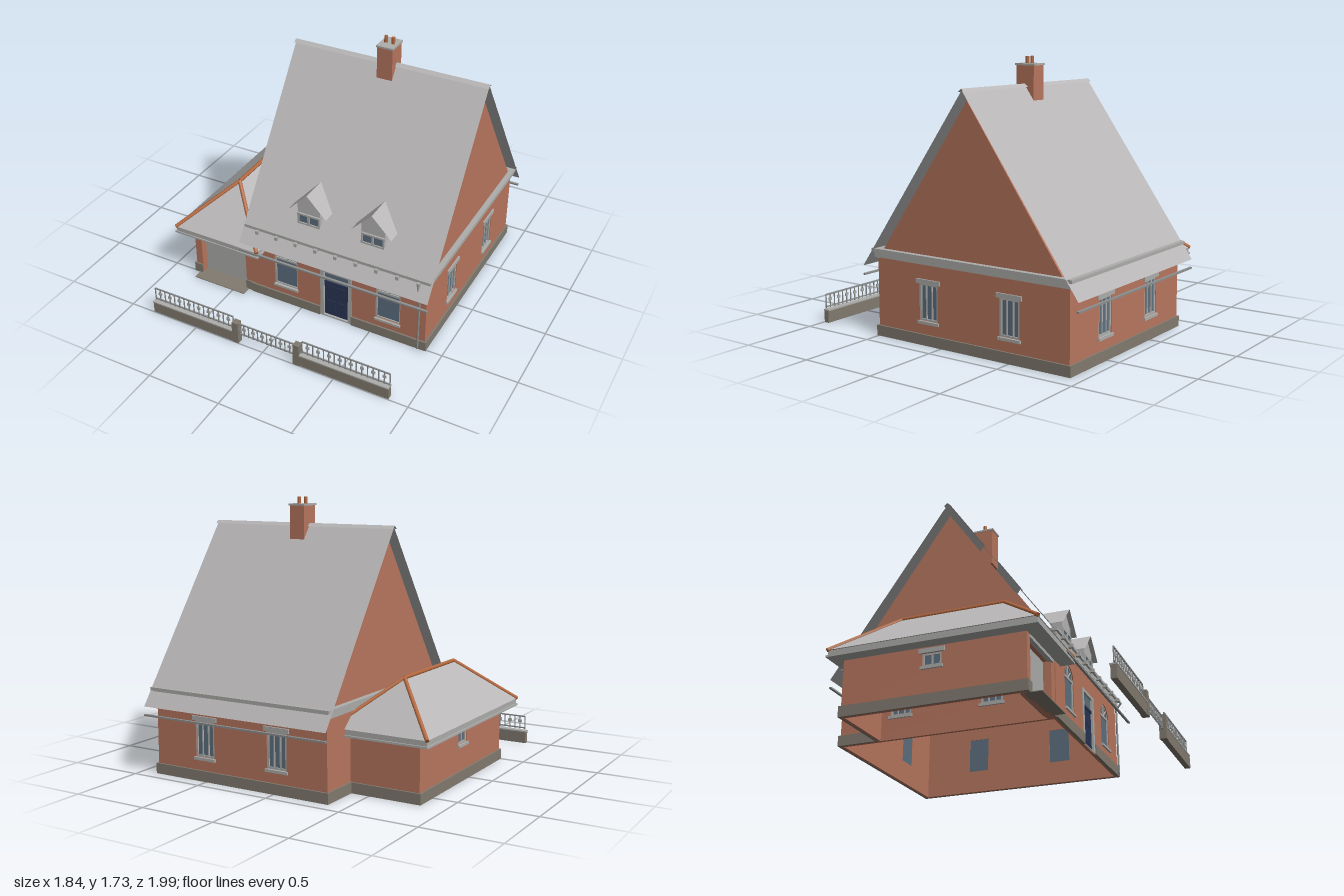
import * as THREE from 'three';

const mat = (name, color, side = THREE.FrontSide) => {
  const m = new THREE.MeshStandardMaterial({ color, side });
  m.name = name;
  return m;
};

export function createModel() {
  const root = new THREE.Group();
  root.name = 'house';
  const brick = mat('brick', 0xb8775f);
  const roofing = mat('roof slate', 0xb9b7b7, THREE.DoubleSide);
  const trim = mat('stone trim', 0xaeaeac);
  const base = mat('plinth stone', 0x827b70);
  const glass = mat('window glass', 0x5e7080);
  const navy = mat('door navy', 0x2a3555);
  const clay = mat('clay tile', 0xb5693f);
  const iron = mat('railing metal', 0x8f9090);

  const add = (parent, name, geo, m) => {
    const mesh = new THREE.Mesh(geo, m);
    mesh.name = name;
    parent.add(mesh);
    return mesh;
  };
  // Box from its minimum and maximum corners
  const box = (parent, name, m, x0, x1, y0, y1, z0, z1) => {
    const b = add(parent, name, new THREE.BoxGeometry(x1 - x0, y1 - y0, z1 - z0), m);
    b.position.set((x0 + x1) / 2, (y0 + y1) / 2, (z0 + z1) / 2);
    return b;
  };
  // Round bar between two points
  const bar = (parent, name, m, a, b, r) => {
    const p = new THREE.Vector3(...a), d = new THREE.Vector3(...b).sub(p);
    const c = add(parent, name, new THREE.CylinderGeometry(r, r, d.length(), 8), m);
    c.position.copy(p).addScaledVector(d, 0.5);
    c.quaternion.setFromUnitVectors(new THREE.Vector3(0, 1, 0), d.normalize());
  };
  // Flat sheet through three or four points
  const sheet = (parent, name, m, ...pts) => {
    const g = new THREE.BufferGeometry();
    g.setAttribute('position', new THREE.Float32BufferAttribute(pts.flat(), 3));
    g.setIndex(pts.length === 4 ? [0, 1, 2, 0, 2, 3] : [0, 1, 2]);
    const flat = g.toNonIndexed();
    flat.computeVertexNormals();
    add(parent, name, flat, m);
  };
  const poly = (pts) => new THREE.Shape(pts.map((p) => new THREE.Vector2(...p)));
  const rect = (x0, x1, y0, y1) => poly([[x0, y0], [x1, y0], [x1, y1], [x0, y1]]);
  const arch = (cx, hw, y0, ys) => {
    const s = new THREE.Shape();
    s.moveTo(cx - hw, y0).lineTo(cx + hw, y0).lineTo(cx + hw, ys);
    s.absarc(cx, ys, hw, 0, Math.PI, false);
    s.closePath();
    return s;
  };
  // Extruded shape with holes, its front face at z
  const plate = (parent, name, m, shape, holes, depth, z) => {
    shape.holes = holes;
    const g = new THREE.ExtrudeGeometry(shape, { depth, bevelEnabled: false, curveSegments: 14 });
    add(parent, name, g.translate(0, 0, z - depth), m);
  };
  // Horizontal rectangular frame
  const ring = (name, m, [x0, x1, z0, z1], [a0, a1, b0, b1], y0, y1) => {
    const s = rect(x0, x1, -z1, -z0);
    s.holes = [rect(a0, a1, -b1, -b0)];
    const g = new THREE.ExtrudeGeometry(s, { depth: y1 - y0, bevelEnabled: false });
    add(root, name, g.rotateX(-Math.PI / 2).translate(0, y0, 0), m);
  };
  // Facade group whose local +z is the outward direction
  const facade = (name, x, z, turn) => {
    const g = new THREE.Group();
    g.name = name;
    g.position.set(x, 0, z);
    g.rotation.y = turn;
    root.add(g);
    return g;
  };

  // Casement window with sill, lintel and mullions
  const casement = (f, cx, y0, y1, hw, bars) => {
    box(f, 'windowGlass', glass, cx - hw, cx + hw, y0, y1, -0.018, -0.012);
    plate(f, 'windowFrame', trim, rect(cx - hw, cx + hw, y0, y1),
      [rect(cx - hw + 0.012, cx + hw - 0.012, y0 + 0.012, y1 - 0.012)], 0.012, -0.004);
    for (const b of bars) box(f, 'mullion', trim, cx + b - 0.004, cx + b + 0.004, y0, y1, -0.014, -0.005);
    box(f, 'sill', trim, cx - hw - 0.01, cx + hw + 0.01, y0 - 0.018, y0, -0.01, 0.012);
    box(f, 'lintel', trim, cx - hw - 0.02, cx + hw + 0.02, y1, y1 + 0.028, -0.01, 0.01);
  };
  const sash = (f, cx) => casement(f, cx, 0.15, 0.38, 0.07, [-0.022, 0.022]);
  const opening = (cx) => rect(cx - 0.07, cx + 0.07, 0.15, 0.38);

  // Front wall with arched windows and door
  const front = facade('frontFacade', 0, 0.5, 0);
  const arches = [-0.115, 0.62];
  plate(front, 'frontWall', brick, rect(-0.37, 0.88, 0, 0.5),
    [...arches.map((c) => arch(c, 0.085, 0.13, 0.335)), rect(0.14, 0.365, 0.004, 0.375)], 0.02, 0);
  for (const c of arches) {
    plate(front, 'archGlass', glass, arch(c, 0.085, 0.13, 0.335), [], 0.005, -0.013);
    plate(front, 'archFrame', trim, arch(c, 0.085, 0.13, 0.335), [arch(c, 0.076, 0.139, 0.335)], 0.01, -0.006);
    box(front, 'transom', trim, c - 0.085, c + 0.085, 0.33, 0.345, -0.014, -0.004);
    box(front, 'mullion', trim, c - 0.004, c + 0.004, 0.34, 0.415, -0.014, -0.006);
    for (const s of [-1, 1])
      bar(front, 'fanBar', trim, [c, 0.338, -0.01], [c + s * 0.056, 0.396, -0.01], 0.004);
    box(front, 'sill', trim, c - 0.09, c + 0.09, 0.115, 0.13, -0.01, 0.012);
  }
  plate(front, 'doorFrame', trim, rect(0.14, 0.365, 0.004, 0.375), [rect(0.165, 0.34, 0.01, 0.355)], 0.02, 0.005);
  box(front, 'frontDoor', navy, 0.165, 0.34, 0.01, 0.27, -0.018, -0.01);
  for (const y of [0.04, 0.16])
    for (const x of [0.185, 0.26]) box(front, 'doorPanel', navy, x, x + 0.06, y, y + 0.09, -0.012, -0.006);
  box(front, 'doorTransom', navy, 0.165, 0.34, 0.265, 0.282, -0.018, -0.004);
  box(front, 'fanlight', glass, 0.165, 0.34, 0.282, 0.355, -0.018, -0.012);

  // Side walls with gables, and back wall
  const side = (name, x, s) => {
    const f = facade(name, x, 0, s * Math.PI / 2);
    plate(f, 'sideWall', brick, rect(s > 0 ? -0.5 : -0.91, s > 0 ? 0.91 : 0.5, 0, 0.5),
      [opening(-0.1 * s), opening(0.5 * s)], 0.02, 0);
    sash(f, -0.1 * s);
    sash(f, 0.5 * s);
    const tri = [[-0.495, 0.5], [0.895, 0.5], [0.2, 1.49]];
    plate(f, 'gable', brick, poly(tri.map(([a, b]) => [a * s, b])), [], 0.015, -0.005);
  };
  side('rightFacade', 0.88, 1);
  side('leftFacade', -0.37, -1);
  const back = facade('backFacade', 0, -0.91, Math.PI);
  plate(back, 'backWall', brick, rect(-0.88, 0.37, 0, 0.5), [opening(-0.51), opening(0.02)], 0.02, 0);
  sash(back, -0.51);
  sash(back, 0.02);

  // Plinth of house and annex
  for (const p of [[-0.38, 0.14, 0.49, 0.512], [0.365, 0.892, 0.49, 0.512], [0.87, 0.892, -0.922, 0.512],
    [-0.382, 0.892, -0.922, -0.9], [-0.382, -0.36, -0.922, -0.64], [-0.842, -0.82, -0.662, 0.505],
    [-0.842, -0.37, -0.662, -0.64], [-0.842, -0.78, 0.485, 0.505], [-0.43, -0.37, 0.485, 0.505]])
    box(root, 'plinth', base, p[0], p[1], 0, 0.067, p[2], p[3]);

  // Cornice with cap and brackets
  const inside = [-0.35, 0.86, -0.89, 0.48];
  ring('cornice', trim, [-0.387, 0.897, -0.927, 0.517], inside, 0.5, 0.535);
  ring('corniceCap', trim, [-0.4, 0.91, -0.94, 0.53], inside, 0.535, 0.555);
  for (let i = 0; i < 9; i++) {
    const x = -0.3 + i * 0.142;
    box(root, 'bracket', trim, x - 0.01, x + 0.01, 0.515, 0.54, 0.5, 0.548);
  }

  // Main roof, ridge cap and eave gutters
  const X0 = -0.41, X1 = 0.92;
  for (const s of [-1, 1]) {
    const z = (d) => -0.2 + s * d;
    sheet(root, 'mainRoof', roofing, [X0, 0.44, z(0.79)], [X1, 0.44, z(0.79)], [X1, 1.55, z(0)], [X0, 1.55, z(0)]);
    sheet(root, 'ridgeCap', roofing, [X0 - 0.005, 1.54, z(0.022)], [X1 + 0.005, 1.54, z(0.022)],
      [X1 + 0.005, 1.56, z(0)], [X0 - 0.005, 1.56, z(0)]);
    box(root, 'eaveGutter', iron, X0, X1, 0.38, 0.391, z(0.785) - 0.008, z(0.785) + 0.008);
  }

  // Chimney
  box(root, 'chimneyStack', brick, 0.2, 0.305, 1.41, 1.67, -0.265, -0.135);
  box(root, 'chimneyCap', trim, 0.195, 0.31, 1.67, 1.682, -0.273, -0.128);
  for (const x of [0.228, 0.278]) bar(root, 'chimneyPot', clay, [x, 1.68, -0.2], [x, 1.725, -0.2], 0.012);

  // Dormers
  for (const cx of [0.03, 0.48]) {
    const d = new THREE.Group();
    d.name = 'dormer';
    d.position.x = cx;
    root.add(d);
    for (const s of [-1, 1]) {
      sheet(d, 'dormerRoof', roofing, [s * 0.135, 0.73, 0.47], [s * 0.135, 0.73, 0.384], [0, 0.87, 0.284], [0, 0.87, 0.47]);
      sheet(d, 'dormerCheek', roofing, [s * 0.082, 0.58, 0.445], [s * 0.082, 0.78, 0.445], [s * 0.082, 0.78, 0.348], [s * 0.082, 0.58, 0.49]);
    }
    plate(d, 'dormerFront', roofing, poly([[-0.082, 0.58], [0.082, 0.58], [0.082, 0.78], [0, 0.865], [-0.082, 0.78]]), [], 0.006, 0.44);
    box(d, 'dormerGlass', glass, -0.07, 0.07, 0.645, 0.7, 0.438, 0.444);
    plate(d, 'dormerFrame', trim, rect(-0.08, 0.08, 0.628, 0.712),
      [rect(-0.068, -0.008, 0.645, 0.7), rect(0.008, 0.068, 0.645, 0.7)], 0.012, 0.452);
  }

  // Annex walls, garage door and small window
  const af = facade('annexFront', 0, 0.495, 0);
  plate(af, 'annexFrontWall', brick, rect(-0.83, -0.37, 0, 0.37), [rect(-0.78, -0.43, 0.004, 0.33)], 0.05, 0);
  box(af, 'garageDoor', trim, -0.78, -0.43, 0.004, 0.33, -0.06, -0.05);
  box(af, 'garageLintel', trim, -0.8, -0.41, 0.325, 0.345, -0.02, 0.01);
  box(root, 'garageApron', base, -0.8, -0.41, 0, 0.005, 0.44, 0.57);
  const al = facade('annexLeft', -0.83, 0, -Math.PI / 2);
  plate(al, 'annexLeftWall', brick, rect(-0.65, 0.495, 0, 0.37), [rect(-0.14, -0.02, 0.235, 0.315)], 0.02, 0);
  casement(al, -0.08, 0.235, 0.315, 0.06, [0]);
  const ab = facade('annexBack', 0, -0.65, Math.PI);
  plate(ab, 'annexBackWall', brick, rect(0.37, 0.83, 0, 0.37), [], 0.02, 0);

  // Annex hipped roof with fascia and clay hip tiles
  ring('annexFascia', trim, [-0.905, -0.285, -0.715, 0.585], [-0.81, -0.37, -0.63, 0.47], 0.365, 0.398);
  ring('annexGutter', trim, [-0.915, -0.275, -0.725, 0.592], [-0.82, -0.36, -0.64, 0.48], 0.354, 0.366);
  const L = -0.91, R = -0.28, B = -0.72, F = 0.59;
  const rf = [-0.595, 0.675, 0.27], rb = [-0.595, 0.675, -0.4];
  const c = [[L, 0.4, F], [R, 0.4, F], [R, 0.4, B], [L, 0.4, B]];
  sheet(root, 'annexRoof', roofing, c[0], c[1], rf);
  sheet(root, 'annexRoof', roofing, c[1], c[2], rb, rf);
  sheet(root, 'annexRoof', roofing, c[2], c[3], rb);
  sheet(root, 'annexRoof', roofing, c[3], c[0], rf, rb);
  for (const [a, b] of [[c[0], rf], [c[1], rf], [c[2], rb], [c[3], rb], [rf, rb]])
    bar(root, 'hipTile', clay, a, b, 0.013);

  // Downpipe
  bar(root, 'downpipe', iron, [0.84, 0.01, 0.522], [0.84, 0.46, 0.522], 0.007);
  bar(root, 'downpipe', iron, [0.84, 0.46, 0.522], [0.84, 0.5, 0.556], 0.007);
  bar(root, 'downpipe', iron, [0.84, 0.5, 0.556], [0.84, 0.53, 0.545], 0.007);

  // Garden wall with pillars, railings and gate
  const fence = facade('fence', 0, 0.978, 0);
  for (const x of [-0.2, 0.24]) box(fence, 'fencePillar', base, x - 0.022, x + 0.022, 0, 0.155, -0.022, 0.022);
  const railing = (x0, x1, y0, y1, n) => {
    for (const y of [y0, y1]) box(fence, 'rail', iron, x0, x1, y - 0.004, y + 0.004, -0.004, 0.004);
    for (let i = 0; i <= n; i++) {
      const x = x0 + ((x1 - x0) * i) / n;
      box(fence, 'baluster', iron, x - 0.003, x + 0.003, y0 - 0.01, y1, -0.003, 0.003);
      if (i % 2) box(fence, 'railPlate', trim, x - 0.012, x + 0.012, y1 - 0.045, y1 - 0.025, -0.004, 0.004);
    }
  };
  for (const [x0, x1] of [[-0.83, -0.222], [0.262, 0.87]]) {
    box(fence, 'gardenWall', base, x0, x1, 0, 0.078, -0.018, 0.018);
    box(fence, 'wallCap', trim, x0 - 0.003, x1, 0.078, 0.087, -0.022, 0.022);
    railing(x0 + 0.012, x1, 0.105, 0.186, 16);
  }
  railing(-0.178, 0.218, 0.065, 0.143, 12);
  return root;
}
